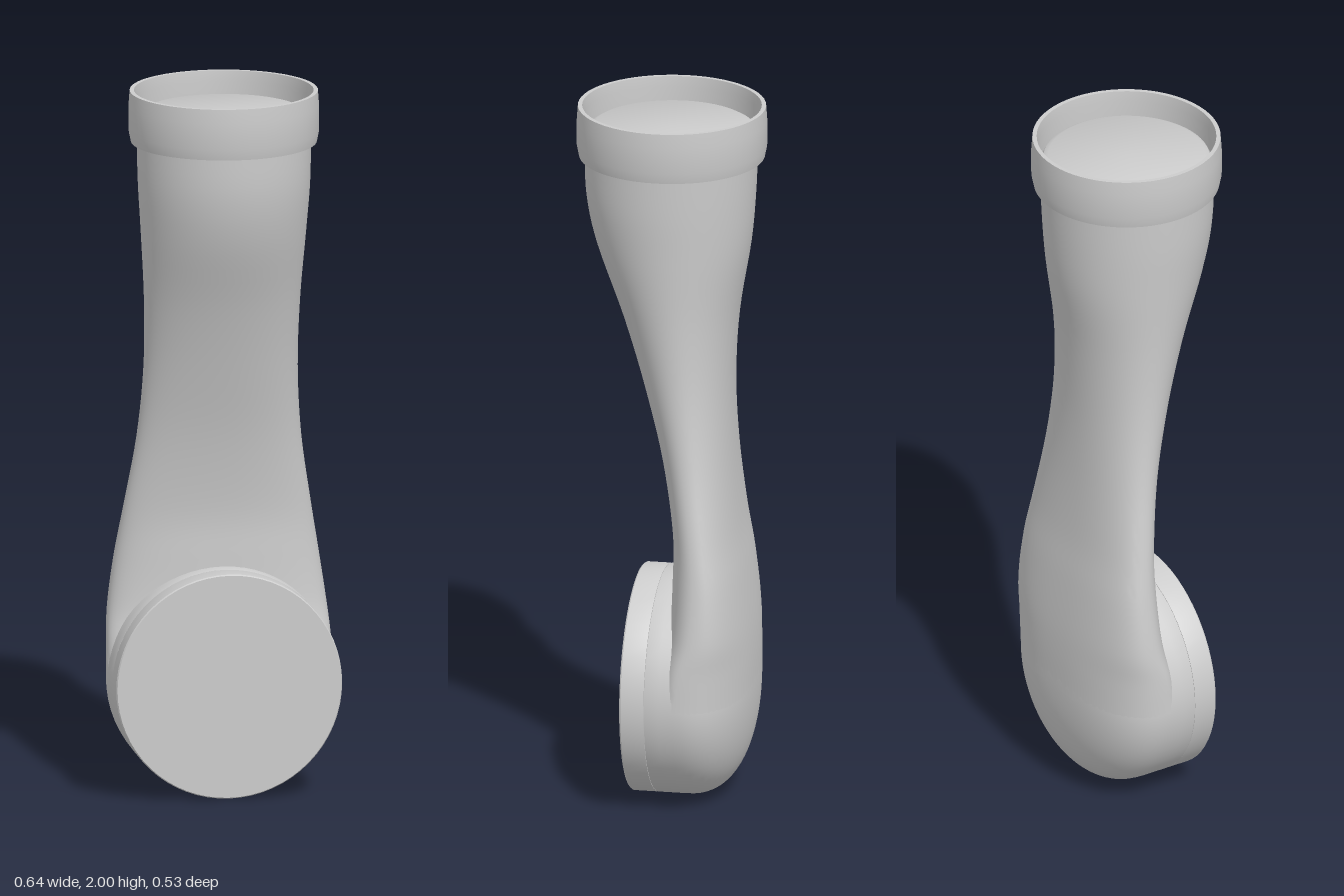
import * as THREE from 'three';
import { toCreasedNormals } from 'three/addons/utils/BufferGeometryUtils.js';

const SEGMENTS = 64;
const R = 0.319;        // radius of the round foot
const BACK_POWER = 2.4; // squareness of the rounded back

// Arm sections: height, half width, front z, widest z, back z
const KEYS = [
  [1.88, 0.243, 0.243, 0, -0.24],
  [1.74, 0.24, 0.238, 0.002, -0.234],
  [1.6, 0.231, 0.207, -0.007, -0.221],
  [1.4, 0.219, 0.133, -0.028, -0.188],
  [1.2, 0.217, 0.07, -0.053, -0.175],
  [1.0, 0.232, 0.016, -0.082, -0.18],
  [0.8, 0.264, -0.018, -0.11, -0.197],
  [0.66, 0.288, -0.02, -0.125, -0.217],
  [0.52, 0.308, -0.015, -0.115, -0.233],
  [0.42, 0.316, 0.0, -0.08, -0.239],
  [0.32, R, 0.01, -0.06, -0.24],
];

// Skins rows of [y, halfWidth, front, middle, back] with superellipse rings
function loft(rows) {
  const pos = [], index = [];
  rows.forEach(([y, w, front, mid, back], i) => {
    const n = 2 + (BACK_POWER - 2) * THREE.MathUtils.smoothstep(1.4 - y, 0, 1.0);
    for (let j = 0; j < SEGMENTS; j++) {
      const a = (j / SEGMENTS) * Math.PI * 2, c = Math.cos(a), s = Math.sin(a);
      const x = Math.sign(c) * Math.abs(c) ** (2 / n) * w;
      const z = mid + Math.abs(s) ** (2 / n) * ((s > 0 ? front : back) - mid);
      pos.push(x, y, z);
      if (i === rows.length - 1) continue;
      const p = i * SEGMENTS + j, q = i * SEGMENTS + (j + 1) % SEGMENTS;
      index.push(p, q, p + SEGMENTS, q, q + SEGMENTS, p + SEGMENTS);
    }
  });
  const g = new THREE.BufferGeometry();
  g.setAttribute('position', new THREE.Float32BufferAttribute(pos, 3));
  g.setIndex(index);
  return g;
}

function lathe(points) {
  return new THREE.LatheGeometry(points.map(([r, y]) => new THREE.Vector2(r, y)), SEGMENTS);
}

export function createModel() {
  const group = new THREE.Group();
  const material = new THREE.MeshStandardMaterial({ color: 0xcccccc, side: THREE.DoubleSide });
  const add = (name, geometry, crease = 0.6) => {
    const mesh = new THREE.Mesh(toCreasedNormals(geometry, crease), material);
    mesh.name = name;
    group.add(mesh);
    return mesh;
  };

  // Arm: flat rounded top, then a smooth sweep down into the foot
  const rows = [[0, 1.94], [0.218, 1.94], [0.232, 1.932], [0.24, 1.915]]
    .map(([r, y]) => [y, r, r, 0, -r]);
  const tracks = [1, 2, 3, 4].map(k =>
    new THREE.SplineCurve(KEYS.map(key => new THREE.Vector2(key[0], key[k]))));
  const steps = 50;
  for (let i = 0; i <= steps; i++) {
    const pts = tracks.map(t => t.getPoint(i / steps));
    rows.push([pts[0].y === undefined ? 0 : pts[0].x, ...pts.map(p => p.y)]);
  }
  add('arm', loft(rows));

  // Collar: open ring with a slightly bowed outside
  add('collar', lathe([
    [0.249, 1.855], [0.259, 1.855], [0.265, 1.885], [0.265, 1.96],
    [0.262, 2.0], [0.25, 2.0], [0.247, 1.97], [0.249, 1.855],
  ]));

  // Foot: short drum with a domed back, turned so its axis runs along z
  const profile = [[0, 0.02], [R - 0.001, 0.02], [R, 0.016], [R, -0.02]];
  for (let i = 0; i <= 20; i++) {
    const a = (i / 20) * Math.PI / 2;
    profile.push([R * Math.cos(a) ** (2 / BACK_POWER), -0.06 - 0.18 * Math.sin(a) ** (2 / BACK_POWER)]);
  }
  profile[profile.length - 1][0] = 0;
  const foot = add('footBody', lathe(profile.reverse()));

  // Front cap of the foot
  const cap = add('footCap', lathe([[0, 0.021], [R - 0.001, 0.021], [R, 0.025], [R, 0.086], [R - 0.003, 0.09], [0, 0.09]]));
  for (const part of [foot, cap]) {
    part.rotation.x = Math.PI / 2;
    part.position.y = R;
  }
  return group;
}
